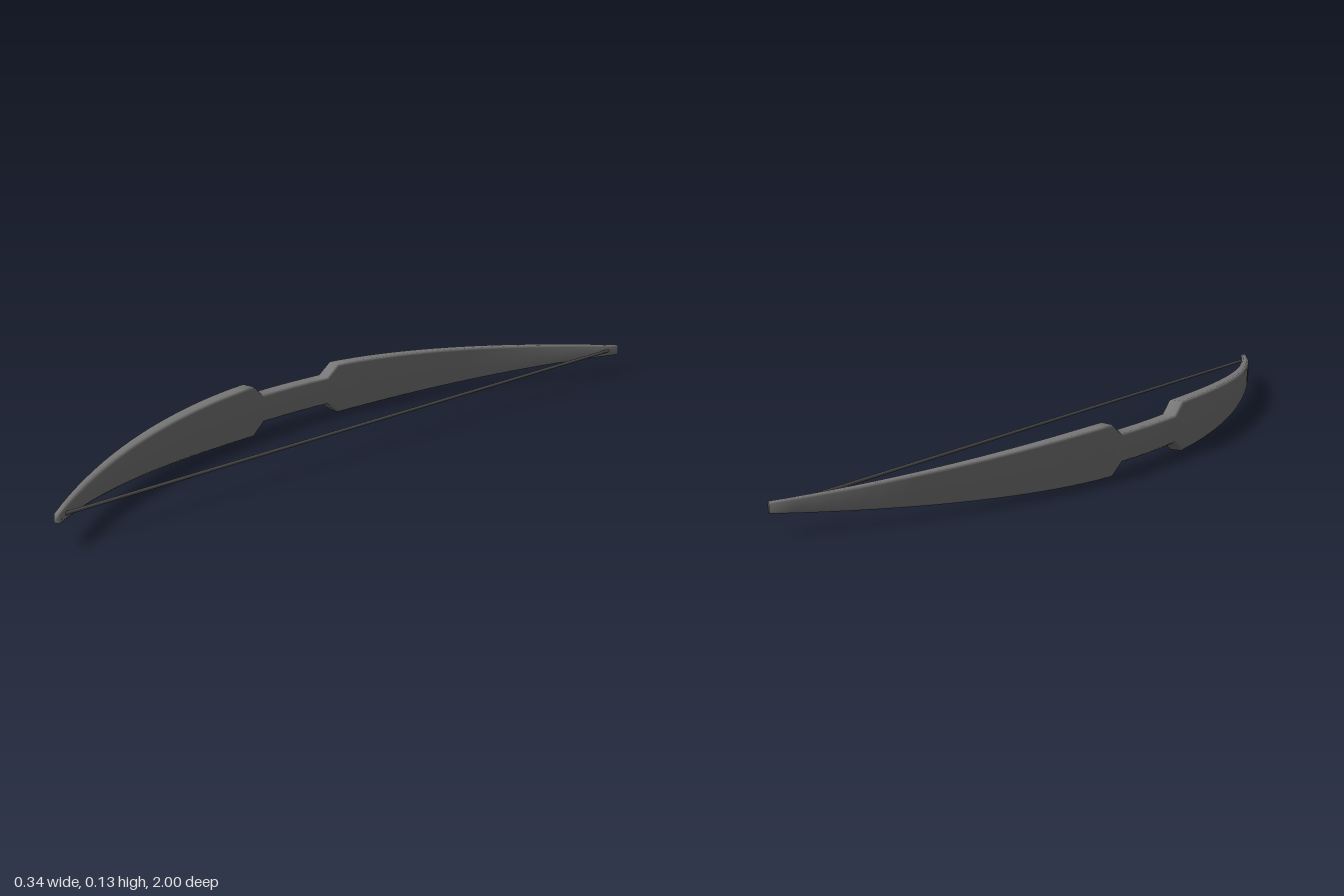
import * as THREE from 'three';

const MID_Y = 0.065;    // height of the bow's plane of symmetry
const BELLY_X = -0.147; // middle of the grip
const RADIUS = 1.756;   // radius of the bow's arc
const TIP_Z = 0.995;
const GRIP_Z = 0.118, SHOULDER_Z = 0.155;

// Progress along a limb: 0 up to the shoulder, 1 at the tip
function limbProgress(z) {
  return Math.max(0, (z - SHOULDER_Z) / (TIP_Z - SHOULDER_Z));
}

// Half height of the stave: narrow grip, sloped shoulder, convex tapering limb
function halfHeight(z) {
  if (z <= GRIP_Z) return 0.036;
  if (z <= SHOULDER_Z) return THREE.MathUtils.mapLinear(z, GRIP_Z, SHOULDER_Z, 0.036, 0.065);
  return 0.013 + 0.052 * (1 - Math.pow(limbProgress(z), 1.45));
}

// Half thickness, thinning towards the tips
function halfThickness(z) {
  return 0.0215 - 0.0135 * Math.pow(limbProgress(z), 1.5);
}

// Stations along the bow, with exact breaks at the shoulders
function stations() {
  const half = [0, 0.06, GRIP_Z, SHOULDER_Z];
  const n = 20;
  for (let i = 1; i <= n; i++) half.push(SHOULDER_Z + (TIP_Z - SHOULDER_Z) * i / n);
  return [...half.slice(1).reverse().map(z => -z), ...half];
}

// Chamfered rectangular section swept along the arc, smoothly shaded
function staveGeometry() {
  const positions = [], index = [];
  const zs = stations(), sides = 8;
  for (const z of zs) {
    const a = Math.asin(z / RADIUS), s = Math.sin(a), c = Math.cos(a);
    const x = BELLY_X + RADIUS * (1 - c);
    const h = halfHeight(Math.abs(z)), w = halfThickness(Math.abs(z));
    const b = Math.min(0.006, w * 0.5);
    const section = [
      [w, -h + b], [w, h - b], [w - b, h], [-w + b, h],
      [-w, h - b], [-w, -h + b], [-w + b, -h], [w - b, -h],
    ];
    for (const [n, y] of section) positions.push(x - c * n, MID_Y + y, z + s * n);
  }
  for (let i = 0; i < zs.length - 1; i++) {
    for (let k = 0; k < sides; k++) {
      const p = i * sides + k, q = i * sides + (k + 1) % sides;
      index.push(p, p + sides, q + sides, p, q + sides, q);
    }
  }
  // End caps at both tips
  const last = (zs.length - 1) * sides;
  for (let k = 1; k < sides - 1; k++) {
    index.push(0, k, k + 1, last, last + k + 1, last + k);
  }
  const g = new THREE.BufferGeometry();
  g.setAttribute('position', new THREE.Float32BufferAttribute(positions, 3));
  g.setIndex(index);
  g.computeVertexNormals();
  return g;
}

export function createModel() {
  const group = new THREE.Group();
  group.name = 'bow';

  // Stave: grip and both limbs in one piece
  const stave = new THREE.Mesh(staveGeometry(), new THREE.MeshStandardMaterial({ color: 0x777777 }));
  stave.name = 'stave';
  group.add(stave);

  // String, stretched straight between the tips
  const string = new THREE.Mesh(
    new THREE.CylinderGeometry(0.0045, 0.0045, 1.96, 8),
    new THREE.MeshStandardMaterial({ color: 0x555555 }),
  );
  string.name = 'bowString';
  string.rotation.x = Math.PI / 2;
  string.position.set(0.151, MID_Y, 0);
  group.add(string);

  return group;
}
